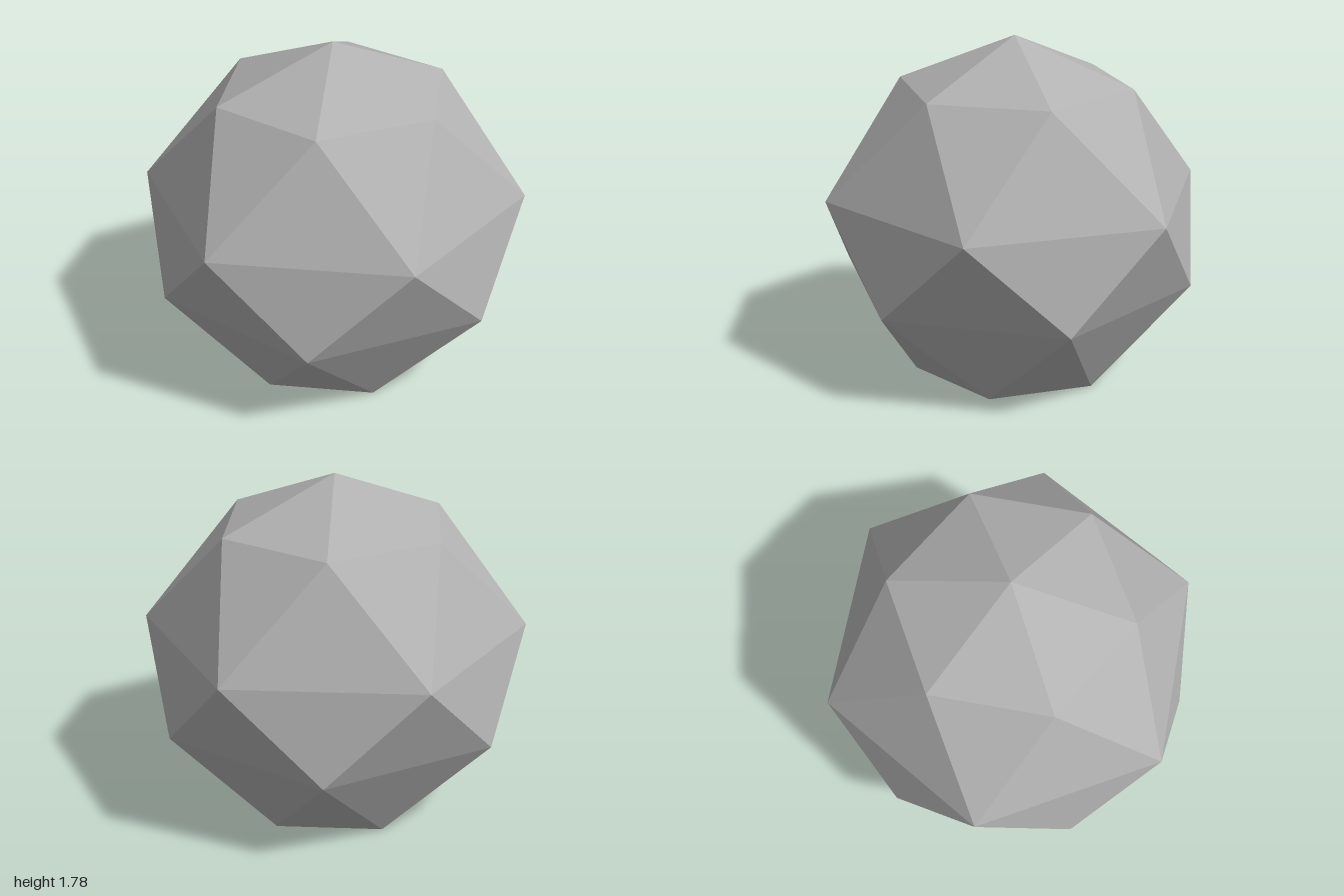
import * as THREE from 'three';

const SIDES = 6;

// Hexagonal rings from top to bottom, each turned half a step from the last
const RINGS = [
  { r: 0.618, y: 1.53 },
  { r: 1.0, y: 0.98 },
  { r: 0.945, y: 0.5 },
  { r: 0.55, y: 0 },
];

function ringPoint(k, i) {
  const { r, y } = RINGS[k];
  const a = ((i + (1 - k) / 2) * 2 * Math.PI) / SIDES;
  return [r * Math.cos(a), y, r * Math.sin(a)];
}

function facetedShape(triangles) {
  const geometry = new THREE.BufferGeometry();
  geometry.setAttribute('position', new THREE.Float32BufferAttribute(triangles.flat(2), 3));
  geometry.computeVertexNormals();
  return geometry;
}

export function createModel() {
  const group = new THREE.Group();
  group.name = 'facetedGem';
  const grey = new THREE.MeshStandardMaterial({ color: 0xb2b2b2, flatShading: true });
  grey.name = 'grey';

  const crown = [], body = [], base = [];
  const last = RINGS.length - 1;
  for (let i = 0; i < SIDES; i++) {
    // Pointed crown
    crown.push([[0, 1.78, 0], ringPoint(0, i + 1), ringPoint(0, i)]);
    // Bands of alternating triangles
    for (let k = 0; k < last; k++) {
      const low = ringPoint(k + 1, i + 1);
      body.push([ringPoint(k, i), low, ringPoint(k + 1, i)]);
      body.push([ringPoint(k, i + 1), low, ringPoint(k, i)]);
    }
    // Flat base
    base.push([[0, 0, 0], ringPoint(last, i), ringPoint(last, i + 1)]);
  }

  for (const [name, triangles] of Object.entries({ crown, body, base })) {
    const mesh = new THREE.Mesh(facetedShape(triangles), grey);
    mesh.name = name;
    group.add(mesh);
  }
  return group;
}
